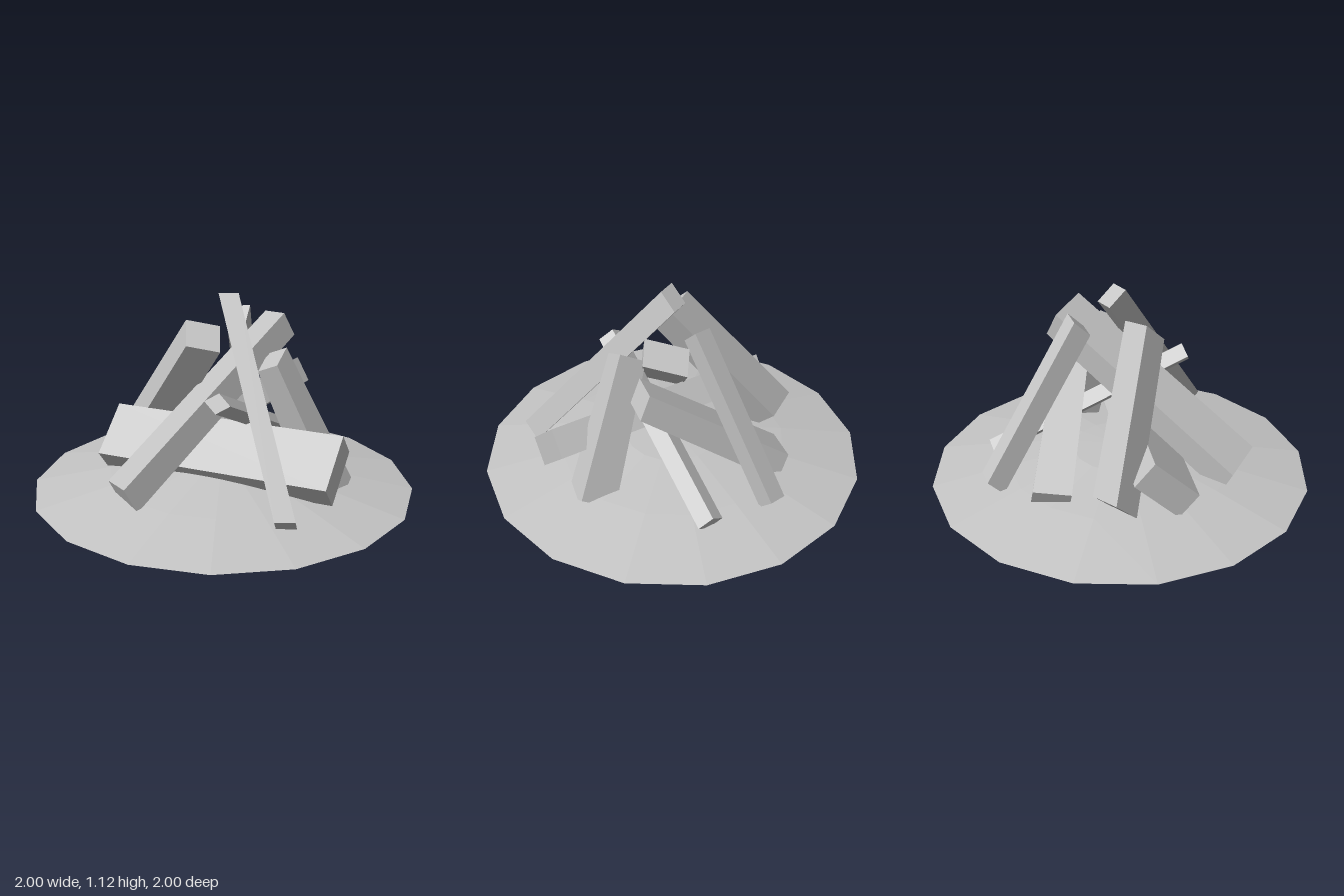
import * as THREE from 'three';

const stone = new THREE.MeshStandardMaterial({ color: 0xc4c4c4, flatShading: true });
stone.name = 'pale grey';

const V = (p) => new THREE.Vector3(...p);

// A beam between two end centres. Its cross-section is spanned by edge
// vectors a and b, scaled by `flare` at the bottom end.
function beam(name, top, bottom, a, b, flare = 1) {
  const t = V(top), m = V(bottom), ea = V(a), eb = V(b);
  // keep the mapping right-handed so that faces point outwards
  if (t.clone().sub(m).cross(eb).dot(ea) < 0) eb.negate();
  const geo = new THREE.BoxGeometry(1, 1, 1);
  const pos = geo.attributes.position;
  for (let i = 0; i < pos.count; i++) {
    const isTop = pos.getY(i) > 0;
    const s = isTop ? 1 : flare;
    const p = (isTop ? t : m).clone()
      .addScaledVector(ea, pos.getX(i) * s)
      .addScaledVector(eb, pos.getZ(i) * s);
    pos.setXYZ(i, p.x, p.y, p.z);
  }
  geo.computeVertexNormals();
  const mesh = new THREE.Mesh(geo, stone);
  mesh.name = name;
  return mesh;
}

export function createModel() {
  const group = new THREE.Group();
  group.name = 'logPile';

  // Low sixteen-sided mound with a flat underside
  const profile = [[0, 0.07], [1, 0.07], [0.6, 0.155], [0.25, 0.215], [0, 0.228]]
    .map(([r, y]) => new THREE.Vector2(r, y));
  const mound = new THREE.Mesh(new THREE.LatheGeometry(profile, 16), stone);
  mound.name = 'mound';
  group.add(mound);

  // Leaning logs: top centre, bottom centre, two cross-section edges, flare
  const logs = [
    ['frontLeftThinLog', [0.02, 1.08, -0.04], [0.565, 0.157, 0.49], [0.09, 0, -0.045], [-0.025, -0.08, -0.085]],
    ['longFrontLog', [0.2, 0.92, -0.265], [-0.28, 0.175, 0.565], [0.165, 0.04, 0.14], [0.04, -0.12, -0.045], 1.1],
    ['rightLog', [-0.055, 0.914, 0.115], [-0.56, 0.215, -0.125], [0.15, -0.035, -0.08], [0.05, -0.105, 0.1], 1.1],
    ['leftLog', [0.27, 0.8, -0.01], [0.57, 0.08, -0.13], [0, -0.06, 0.12], [-0.12, -0.06, -0.04], 1.35],
    ['backRightLog', [0.31, 0.675, -0.2], [-0.38, 0.16, -0.42], [-0.04, -0.01, 0.165], [0.06, -0.12, -0.01], 1.15],
    ['backThinLog', [-0.01, 0.95, -0.21], [-0.16, 0.16, -0.69], [0.095, 0.01, -0.02], [0.01, -0.08, 0.08]],
    ['lowThinLog', [0.15, 0.67, 0.375], [0.19, 0.16, -0.66], [0.07, -0.05, 0.02], [-0.07, -0.045, 0.02]],
    // thick log lying across the front
    ['crossLog', [0.68, 0.315, 0.11], [-0.585, 0.295, 0.13], [0, -0.205, 0.225], [0, -0.12, -0.1]],
  ];
  for (const log of logs) group.add(beam(...log));

  return group;
}
